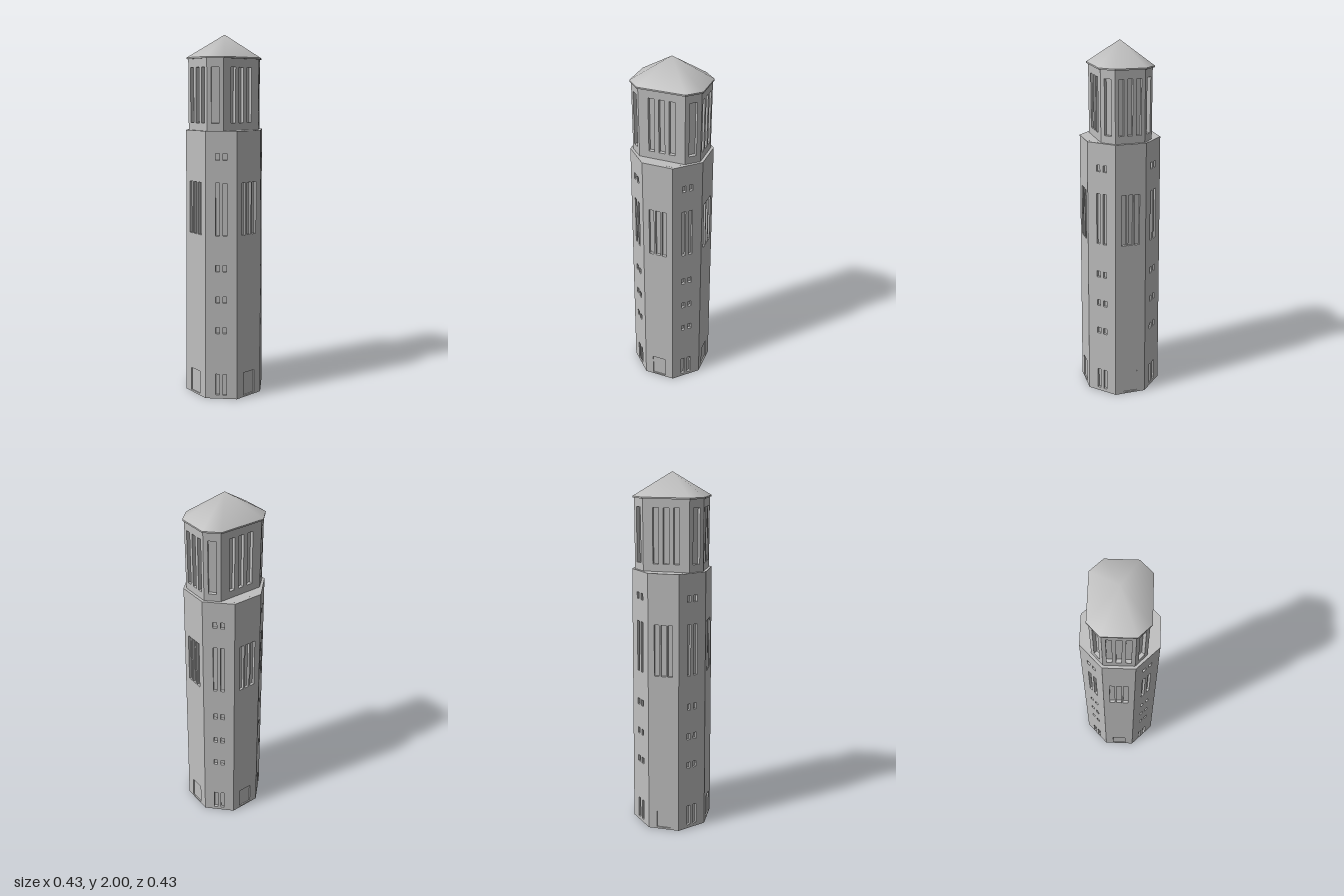
import * as THREE from 'three';

const stone = new THREE.MeshStandardMaterial({ color: 0xc0c0c0 });
stone.name = 'pale grey stone';

// Eight corners of an octagon at height y, left to right as seen from outside, front face first
function ring({ hx, hz, cx, cz }, y, inset = 0) {
  const k = inset * 0.414;
  const X = hx - inset, Z = hz - inset, x = cx - k, z = cz - k;
  return [[-x, Z], [x, Z], [X, z], [X, -z], [x, -Z], [-x, -Z], [-X, -z], [-X, z]]
    .map(([px, pz]) => new THREE.Vector3(px, y, pz));
}

function add(group, name, geometry) {
  const mesh = new THREE.Mesh(geometry, stone);
  mesh.name = name;
  group.add(mesh);
  return mesh;
}

// Flat-sided solid between two octagons, with both caps
function solid(low, high) {
  const pts = [];
  for (let i = 0; i < 8; i++) {
    const j = (i + 1) % 8;
    pts.push(low[i], low[j], high[j], low[i], high[j], high[i]);
    if (i > 0 && i < 7) pts.push(high[0], high[i], high[j], low[0], low[j], low[i]);
  }
  const g = new THREE.BufferGeometry().setFromPoints(pts);
  g.computeVertexNormals();
  return g;
}

function rect(path, [x, y0, y1, w]) {
  path.moveTo(x - w / 2, y0);
  path.lineTo(x + w / 2, y0);
  path.lineTo(x + w / 2, y1);
  path.lineTo(x - w / 2, y1);
  path.closePath();
  return path;
}

// Wall panel with openings, given as [centre, bottom, top, width] on the face
function wall(name, low, high, i, depth, openings, door) {
  const j = (i + 1) % 8;
  const mid = low[i].clone().lerp(low[j], 0.5);
  const up = high[i].clone().lerp(high[j], 0.5).sub(mid);
  const h = up.length();
  const a = low[i].distanceTo(low[j]) / 2, b = high[i].distanceTo(high[j]) / 2;
  const shape = new THREE.Shape([[-a, 0], [a, 0], [b, h], [-b, h]].map(p => new THREE.Vector2(...p)));
  for (const o of openings) shape.holes.push(rect(new THREE.Path(), o));
  const panel = new THREE.Group();
  panel.name = name;
  const geo = new THREE.ExtrudeGeometry(shape, { depth, bevelEnabled: false });
  add(panel, name + 'Panel', geo.translate(0, 0, -depth));
  // Door leaf set a little behind the wall face
  if (door) {
    const [x, y0, y1, w] = door;
    add(panel, 'door', new THREE.BoxGeometry(w, y1 - y0, 0.008))
      .position.set(x, (y0 + y1) / 2, -0.011);
  }
  const right = low[j].clone().sub(low[i]).normalize();
  up.normalize();
  panel.applyMatrix4(new THREE.Matrix4()
    .makeBasis(right, up, right.clone().cross(up)).setPosition(mid));
  return panel;
}

const row = (xs, y0, y1, w) => xs.map(x => [x, y0, y1, w]);

export function createModel() {
  const tower = new THREE.Group();
  tower.name = 'tower';

  // Tapered shaft
  const foot = { hx: 0.213, hz: 0.213, cx: 0.088, cz: 0.088 };
  const head = { hx: 0.203, hz: 0.203, cx: 0.084, cz: 0.084 };
  const top = 1.49, depth = 0.015;
  add(tower, 'shaftCore', solid(ring(foot, 0, depth), ring(head, top, depth)));
  const door = [0, 0.01, 0.143, 0.08];
  const cardinal = [...row([-0.037, 0, 0.037], 0.927, 1.214, 0.027), door];
  const pair = [-0.02, 0.02];
  const diagonal = [
    ...row(pair, 0.02, 0.143, 0.021),
    ...row(pair, 0.927, 1.214, 0.021),
    ...[0.378, 0.552, 0.728, 1.336].flatMap(y => row(pair, y, y + 0.036, 0.021)),
  ];
  for (let i = 0; i < 8; i++) {
    const odd = i % 2;
    tower.add(wall('shaftWall', ring(foot, 0), ring(head, top), i, depth,
      odd ? diagonal : cardinal, odd ? null : door));
  }

  // Narrower belfry, deeper than it is wide
  const belfry = { hx: 0.14, hz: 0.188, cx: 0.08, cz: 0.125 };
  const eaveY = 1.87, recess = 0.02;
  add(tower, 'belfryCore', solid(ring(belfry, top, recess), ring(belfry, eaveY, recess)));
  const slot = (xs, w) => row(xs, 0.04, 0.333, w);
  const slots = [slot([-0.047, 0, 0.047], 0.027), slot([0], 0.041), slot([-0.056, 0, 0.056], 0.032), slot([0], 0.041)];
  for (let i = 0; i < 8; i++) {
    tower.add(wall('belfryWall', ring(belfry, top), ring(belfry, eaveY), i, recess, slots[i % 4]));
  }

  // Thin eave and smooth pointed roof
  const eave = { hx: 0.15, hz: 0.195, cx: 0.084, cz: 0.128 };
  add(tower, 'eave', solid(ring(eave, 1.868), ring(eave, 1.876)));
  const roof = new THREE.BufferGeometry().setFromPoints([...ring(eave, 1.876), new THREE.Vector3(0, 2, 0)]);
  roof.setIndex([0, 1, 2, 3, 4, 5, 6, 7].flatMap(i => [i, (i + 1) % 8, 8]));
  roof.computeVertexNormals();
  add(tower, 'roof', roof);

  return tower;
}
